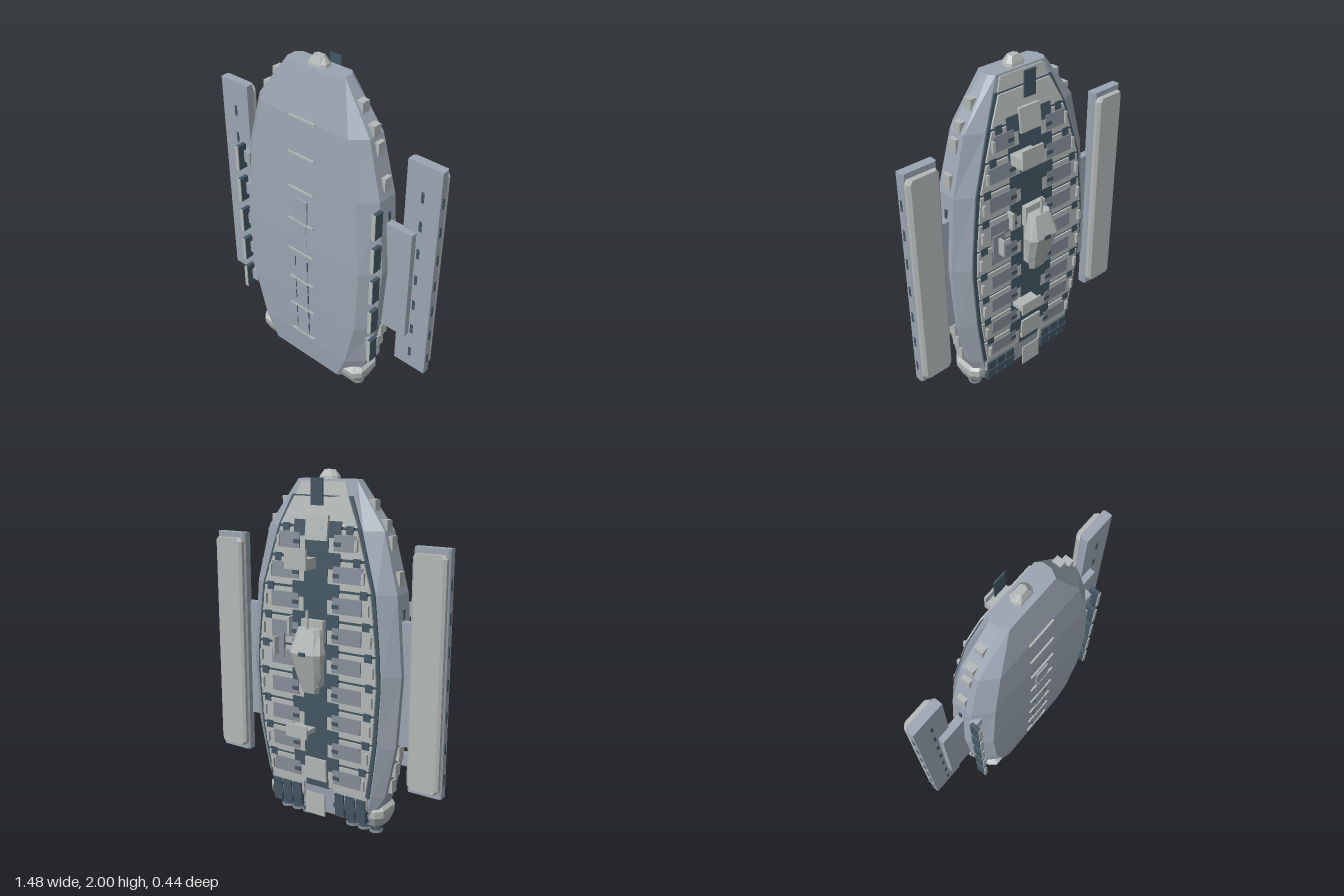
import * as THREE from 'three';

const mat = (name, color) => Object.assign(new THREE.MeshStandardMaterial({ color, flatShading: true }), { name });

// Stations: y, front half-width, front z, widest half-width, side z front, side z back, back half-width, back z
const STATIONS = [
  [0.08, 0.24, 0.185, 0.33, 0.12, 0.01, 0.30, -0.035],
  [0.25, 0.31, 0.20, 0.40, 0.12, 0.005, 0.34, -0.05],
  [0.55, 0.38, 0.207, 0.46, 0.12, 0, 0.385, -0.065],
  [0.95, 0.40, 0.21, 0.485, 0.12, 0, 0.41, -0.07],
  [1.38, 0.36, 0.20, 0.45, 0.12, 0, 0.365, -0.065],
  [1.70, 0.29, 0.18, 0.365, 0.11, 0.005, 0.27, -0.045],
  [1.95, 0.16, 0.125, 0.185, 0.08, 0.03, 0.16, 0],
];

// Linear interpolation of one station column at height y
function at(y, col) {
  let i = 0;
  while (i < STATIONS.length - 2 && y > STATIONS[i + 1][0]) i++;
  const a = STATIONS[i], b = STATIONS[i + 1];
  return THREE.MathUtils.lerp(a[col], b[col], (y - a[0]) / (b[0] - a[0]));
}

// Skin a stack of rings; each ring is { y, pts: [[x, z], ...] } turning from +z towards +x
function loft(rings) {
  const pos = [], idx = [], n = rings[0].pts.length;
  rings.forEach(r => r.pts.forEach(([x, z]) => pos.push(x, r.y, z)));
  for (let i = 0; i < rings.length - 1; i++) {
    for (let j = 0; j < n; j++) {
      const a = i * n + j, b = i * n + (j + 1) % n;
      idx.push(a, b, b + n, a, b + n, a + n);
    }
  }
  const t = (rings.length - 1) * n;
  for (let j = 1; j < n - 1; j++) idx.push(0, j + 1, j, t, t + j, t + j + 1);
  const g = new THREE.BufferGeometry();
  g.setAttribute('position', new THREE.Float32BufferAttribute(pos, 3));
  g.setIndex(idx);
  const flat = g.toNonIndexed();
  flat.computeVertexNormals();
  return flat;
}

// Symmetric ring from its right half, listed front to back
const mirrorRing = (y, half, cx = 0) => ({
  y, pts: [...half.map(([x, z]) => [cx + x, z]), ...half.slice().reverse().map(([x, z]) => [cx - x, z])],
});

export function createModel() {
  const root = new THREE.Group();
  root.name = 'spaceship';
  const hullM = mat('hullGrey', 0x9aa4b1);
  const light = mat('lightGrey', 0xb2b8b7);
  const mid = mat('panelGrey', 0x868e9a);
  const dark = mat('darkSlate', 0x435663);

  const add = (name, geo, m) => {
    const mesh = new THREE.Mesh(geo, m);
    mesh.name = name;
    root.add(mesh);
    return mesh;
  };
  // Box from its limits
  const box = (name, m, x0, x1, y0, y1, z0, z1) => {
    const b = add(name, new THREE.BoxGeometry(x1 - x0, y1 - y0, z1 - z0), m);
    b.position.set((x0 + x1) / 2, (y0 + y1) / 2, (z0 + z1) / 2);
    return b;
  };
  // Same box on both sides
  const pair = (name, m, x0, x1, ...r) => {
    box(name + 'Left', m, x0, x1, ...r);
    box(name + 'Right', m, -x1, -x0, ...r);
  };
  // Plate following the slope of the back, from offset d0 to d1 behind the hull
  const backPlate = (name, m, y0, y1, hw0, hw1, d0, d1, cx = 0) =>
    add(name, loft([[y0, hw0], [y1, hw1]].map(([y, hw]) =>
      mirrorRing(y, [[hw, at(y, 7) - d0], [hw, at(y, 7) - d1]], cx))), m);

  // Main hull
  add('hull', loft(STATIONS.map(([y, wf, zf, w, z1, z2, wb, zb]) =>
    mirrorRing(y, [[wf, zf], [w, z1], [w, z2], [wb, zb]]))), hullM);

  // Nose cap
  add('noseCap', loft([[1.94, 0.06, 0.015, 0.095], [1.965, 0.055, 0.02, 0.09], [2, 0.03, 0.035, 0.075]].map(
    ([y, w, z0, z1]) => mirrorRing(y, [[w * 0.7, z1], [w, z1 - 0.02], [w, z0 + 0.02], [w * 0.7, z0]]))), light);

  // Front keel strip and cross ribs
  box('keelStrip', hullM, -0.045, 0.045, 1.08, 1.24, 0.19, 0.213);
  add('keelLowerStrip', loft([[0.28, 0.045], [0.7, 0.045], [1.08, 0.035]].map(([y, w]) =>
    mirrorRing(y, [[w, at(y, 2) + 0.004], [w, at(y, 2) - 0.02]]))), hullM);
  for (const y of [0.32, 0.42, 0.54, 0.62, 0.78]) {
    pair('keelSlot', dark, 0.041, 0.047, y, y + 0.06, at(y, 2) - 0.01, at(y, 2) + 0.005);
  }
  for (let i = 0; i < 8; i++) {
    const y = 0.28 + i * 0.203, z = at(y, 2);
    box('frontRib', light, -0.088, 0.088, y - 0.005, y + 0.005, z - 0.01, z + 0.009);
  }

  // Side armour shutters
  for (let i = 0; i < 5; i++) {
    const y = 0.37 + i * 0.211;
    pair('sideShutter', dark, 0.466, 0.488, y, y + 0.15, 0.142, 0.198);
    pair('shutterFace', light, 0.466, 0.488, y, y + 0.15, 0.198, 0.203);
    pair('shutterMount', hullM, 0.42, 0.47, y + 0.04, y + 0.11, 0.12, 0.16);
  }

  // Small sensor blocks and windows along the flanks
  for (const y of [0.27, 0.37, 0.47, 1.42, 1.6, 1.68, 1.78]) {
    const x = at(y + 0.04, 3);
    pair('flankBlock', light, x - 0.03, x + 0.016, y, y + 0.075, 0.03, 0.08);
  }
  for (let i = 0; i < 7; i++) {
    const y = 0.4 + i * 0.17, x = at(y, 3);
    pair('flankWindow', dark, x - 0.03, x + 0.004, y, y + 0.05, 0.045, 0.06);
  }

  // Wing pylons and outer wing panels
  pair('pylon', hullM, 0.38, 0.62, 0.56, 1.24, 0.03, 0.075);
  for (const s of [1, -1]) {
    const wing = add('wingPanel', loft([[0.33, 0.1], [1.64, 0.1]].map(([y, w]) =>
      mirrorRing(y, [[w, 0.04], [w, 0], [w - 0.01, -0.012]], s * 0.64))), hullM);
    wing.name = s > 0 ? 'wingPanelLeft' : 'wingPanelRight';
    add('wingBackPlate', loft([[0.36, 0.08], [0.38, 0.093], [1.59, 0.093], [1.61, 0.08]].map(([y, w]) =>
      mirrorRing(y, [[w, -0.005], [w, -0.03], [w - 0.015, -0.043]], s * 0.64))), light);
  }
  for (let i = 0; i < 7; i++) {
    const y = 0.435 + i * 0.171;
    pair('wingWindow', dark, 0.631, 0.647, y - 0.03, y + 0.03, 0.036, 0.043);
    pair('wingEdgeWindow', dark, 0.735, 0.742, y - 0.03, y + 0.03, 0.01, 0.025);
  }

  // Stepped back deck: dark underlay, light rows, centre bars and panels
  for (let i = 0; i < 10; i++) {
    const y0 = 0.245 + i * 0.1625, y1 = y0 + 0.1625, c = y0 + 0.08;
    const w0 = at(y0, 6), w1 = at(y1, 6);
    backPlate('deckUnderlay', dark, y0, y1, w0 - 0.005, w1 - 0.005, -0.01, 0.008);
    backPlate('deckRow', light, y0 + 0.008, y1 - 0.008, w0 - 0.025, w1 - 0.025, 0, 0.018);
    if (i === 9) continue;
    backPlate('centreBar', dark, y1 - 0.05, y1 + 0.035, 0.15, 0.15, 0.01, 0.022);
    backPlate('centreSpine', dark, y0, y1, 0.075, 0.075, 0.01, 0.021);
    const pw = Math.min(0.09, (at(c, 6) - 0.16) / 2);
    for (const s of [1, -1]) {
      backPlate('deckPanel', mid, c - 0.035, c + 0.05, pw, pw, 0.01, 0.024, s * (0.11 + pw));
      backPlate('deckClamp', dark, c - 0.01, c + 0.012, 0.02, 0.02, 0.02, 0.027, s * 0.13);
      backPlate('edgeNotch', dark, y1 - 0.03, y1 + 0.015, 0.022, 0.022, 0.01, 0.021, s * (at(y1, 6) - 0.065));
      backPlate('edgeBlock', light, c - 0.03, c + 0.03, 0.008, 0.008, 0.01, 0.034, s * (at(c, 6) - 0.045));
    }
  }
  for (const y of [0.29, 1.64]) backPlate('deckHatch', light, y, y + 0.13, 0.07, 0.07, 0.01, 0.035);
  backPlate('deckCrown', light, 1.86, 1.94, 0.17, 0.14, -0.01, 0.008);
  box('noseVane', dark, -0.038, 0.038, 1.82, 1.96, -0.071, -0.064);
  box('sternVane', light, -0.065, 0.065, 0.08, 0.21, -0.092, -0.085);

  // Stern grilles
  for (const s of [1, -1]) {
    backPlate('sternDeck', light, 0.16, 0.25, 0.11, 0.11, -0.01, 0.012, s * 0.21);
    for (let k = 0; k < 3; k++) {
      backPlate('grille', dark, 0.09, 0.23, 0.029, 0.029, -0.01, 0.024, s * (0.145 + k * 0.07));
    }
    backPlate('grilleBar', dark, 0.145, 0.17, 0.105, 0.105, -0.01, 0.03, s * 0.215);
  }

  // Command tower
  box('towerBase', light, -0.06, 0.06, 0.86, 1.18, -0.15, -0.07);
  box('towerStep', light, -0.07, 0.07, 1.1, 1.22, -0.12, -0.07);
  add('tower', loft([[0.82, 0.05, -0.15], [0.92, 0.08, -0.178], [1.05, 0.1, -0.212], [1.18, 0.07, -0.172]].map(
    ([y, w, z]) => mirrorRing(y, [[w * 0.75, -0.11], [w, -0.135], [w, z + 0.025], [w * 0.7, z]]))), light);
  box('towerSlit', dark, -0.02, 0.02, 1.04, 1.06, -0.219, -0.205);
  box('towerMast', light, -0.006, 0.006, 1.16, 1.28, -0.168, -0.156);

  // Deck arms, each with an end plate
  box('upperArm', light, 0, 0.14, 1.49, 1.55, -0.17, -0.06);
  box('upperArmPlate', light, 0, 0.14, 1.49, 1.6, -0.172, -0.16);
  box('lowerArm', light, 0, 0.14, 0.58, 0.605, -0.17, -0.06);
  box('lowerArmPlate', light, 0, 0.14, 0.555, 0.63, -0.172, -0.162);

  // Deck antennas
  box('antenna', light, 0.235, 0.247, 1.0, 1.1, -0.142, -0.07);
  box('antennaShort', light, 0.15, 0.165, 1.12, 1.22, -0.12, -0.07);
  box('antennaFoot', mid, 0.2, 0.28, 0.98, 1.12, -0.1, -0.07);

  // Engine pods with three nozzles each
  for (const s of [1, -1]) {
    add('enginePod', loft([[0.045, 0.105, 0.035, 0.12, 0.235], [0.06, 0.125, 0, 0.15, 0.245],
      [0.12, 0.14, -0.03, 0.175, 0.25], [0.16, 0.14, -0.03, 0.18, 0.25], [0.2, 0.1, 0, 0.13, 0.25]].map(
      ([y, w, z0, z1, cx]) => mirrorRing(y, [[w * 0.75, z1], [w, z1 - 0.04], [w, z0 + 0.04], [w * 0.75, z0]], s * cx))), light);
    for (let k = 0; k < 3; k++) {
      const x = s * (0.155 + k * 0.077);
      const nozzle = add('nozzle', new THREE.CylinderGeometry(0.032, 0.036, 0.04, 12), dark);
      nozzle.position.set(x, 0.033, 0.07);
      const rim = add('nozzleRim', new THREE.CylinderGeometry(0.04, 0.04, 0.014, 12), mid);
      rim.position.set(x, 0.007, 0.07);
    }
  }
  return root;
}
